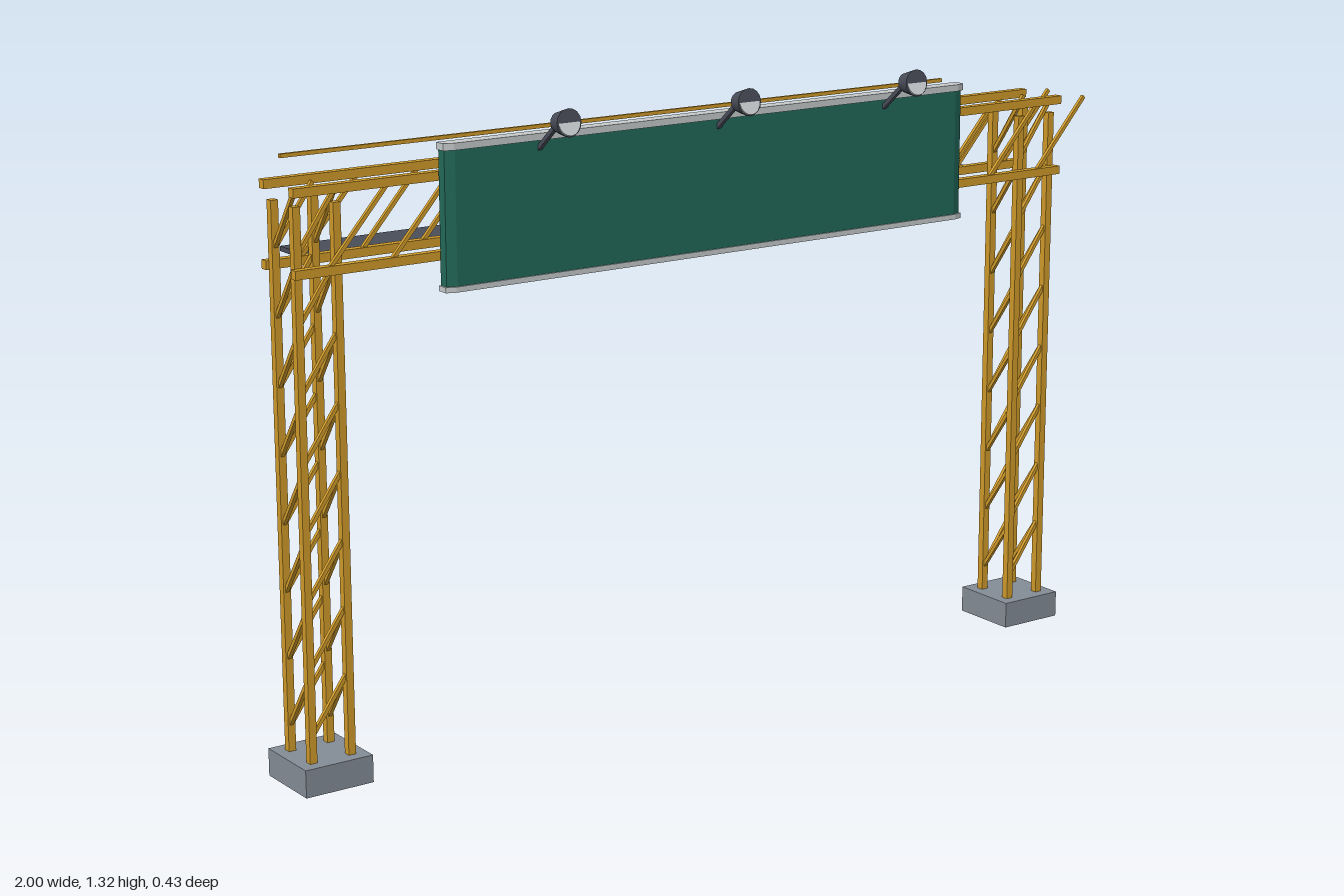
import * as THREE from 'three';

const mat = (name, color) => {
  const m = new THREE.MeshStandardMaterial({ color });
  m.name = name;
  return m;
};

export function createModel() {
  const root = new THREE.Group();
  root.name = 'signGantry';

  const yellow = mat('yellow steel', 0xd09b2a);
  const concrete = mat('concrete', 0x848c96);
  const green = mat('sign green', 0x22695a);
  const silver = mat('silver trim', 0xc6cacb);
  const dark = mat('dark steel', 0x4a4e5a);
  const lensMat = mat('lamp lens', 0xd0d4d8);

  const group = (name, parent = root) => {
    const g = new THREE.Group();
    g.name = name;
    parent.add(g);
    return g;
  };
  const add = (parent, name, geo, material, x = 0, y = 0, z = 0) => {
    const m = new THREE.Mesh(geo, material);
    m.name = name;
    m.position.set(x, y, z);
    parent.add(m);
    return m;
  };
  const box = (parent, name, material, w, h, d, x, y, z) =>
    add(parent, name, new THREE.BoxGeometry(w, h, d), material, x, y, z);

  // Square bar between two points
  const bar = (parent, name, material, a, b, t) => {
    const A = new THREE.Vector3(...a), B = new THREE.Vector3(...b);
    const mid = A.clone().add(B).multiplyScalar(0.5);
    const m = box(parent, name, material, t, t, A.distanceTo(B), mid.x, mid.y, mid.z);
    m.lookAt(B);
    return m;
  };

  const zc = 0.002;

  // Lattice towers on concrete footings
  const r = 0.043;
  for (const [side, x] of [['right', -0.924], ['left', 0.866]]) {
    const tower = group(side + 'Tower');
    box(tower, 'footing', concrete, 0.15, 0.057, 0.152, x, 0.0285, zc);
    for (const sx of [-1, 1]) for (const sz of [-1, 1])
      box(tower, 'leg', yellow, 0.016, 1.105, 0.016, x + sx * r, 0.6085, zc + sz * r);
    for (let i = 0; i < 8; i++) {
      const y0 = 0.107 + i * 0.1368, y1 = y0 + 0.122;
      for (const s of [-1, 1]) {
        bar(tower, 'brace', yellow, [x - r, y0, zc + s * r], [x + r, y1, zc + s * r], 0.008);
        bar(tower, 'brace', yellow, [x + s * r, y0, zc - r], [x + s * r, y1, zc + r], 0.008);
      }
    }
  }

  // Horizontal truss
  const truss = group('truss');
  const yLow = 1.034, yTop = 1.19;
  for (const z of [zc - 0.058, zc + 0.058]) {
    for (const y of [yLow, yTop])
      box(truss, 'chord', yellow, 1.905, 0.018, 0.018, -0.029, y, z);
    for (let i = 0; i < 14; i++) {
      const x = -0.908 + i * 0.136;
      bar(truss, 'brace', yellow, [x, yLow, z], [x + 0.136, yTop, z], 0.008);
    }
  }

  // Sign panel and trims share a plan with chamfered front corners
  const slab = (name, material, half, zBack, zMid, zFront, y0, y1) => {
    const s = new THREE.Shape();
    s.moveTo(-half, -zBack);
    s.lineTo(-half, -zMid);
    s.lineTo(-half + 0.02, -zFront);
    s.lineTo(half - 0.02, -zFront);
    s.lineTo(half, -zMid);
    s.lineTo(half, -zBack);
    const geo = new THREE.ExtrudeGeometry(s, { depth: y1 - y0, bevelEnabled: false });
    geo.rotateX(-Math.PI / 2);
    add(sign, name, geo, material, -0.028, y0, 0);
  };
  const sign = group('sign');
  slab('panel', green, 0.641, 0.073, 0.094, 0.101, 0.977, 1.243);
  slab('topTrim', silver, 0.645, 0.072, 0.097, 0.104, 1.243, 1.257);
  slab('bottomTrim', silver, 0.645, 0.072, 0.097, 0.104, 0.966, 0.977);

  // Sign lamps on sloping arms
  for (const x of [-0.457, -0.029, 0.399]) {
    const lamp = group('lamp');
    bar(lamp, 'arm', dark, [x, 1.2, 0.066], [x, 1.288, 0.172], 0.009);
    const head = group('lampHead', lamp);
    head.position.set(x, 1.289, 0.188);
    head.rotation.x = -0.1;
    const shade = new THREE.CylinderGeometry(0.028, 0.02, 0.036, 16);
    shade.rotateX(Math.PI / 2);
    add(head, 'shade', shade, dark);
    const lens = new THREE.CylinderGeometry(0.024, 0.024, 0.006, 16);
    lens.rotateX(Math.PI / 2);
    add(head, 'lens', lens, lensMat, 0, -0.002, 0.0155).rotation.x = -0.22;
  }

  // Service walkway and its handrail at the rear
  const walkway = group('walkway');
  box(walkway, 'deck', dark, 1.67, 0.01, 0.136, -0.028, 1.025, -0.145);
  box(walkway, 'handrail', yellow, 1.67, 0.008, 0.008, -0.028, 1.21, -0.204);

  return root;
}
